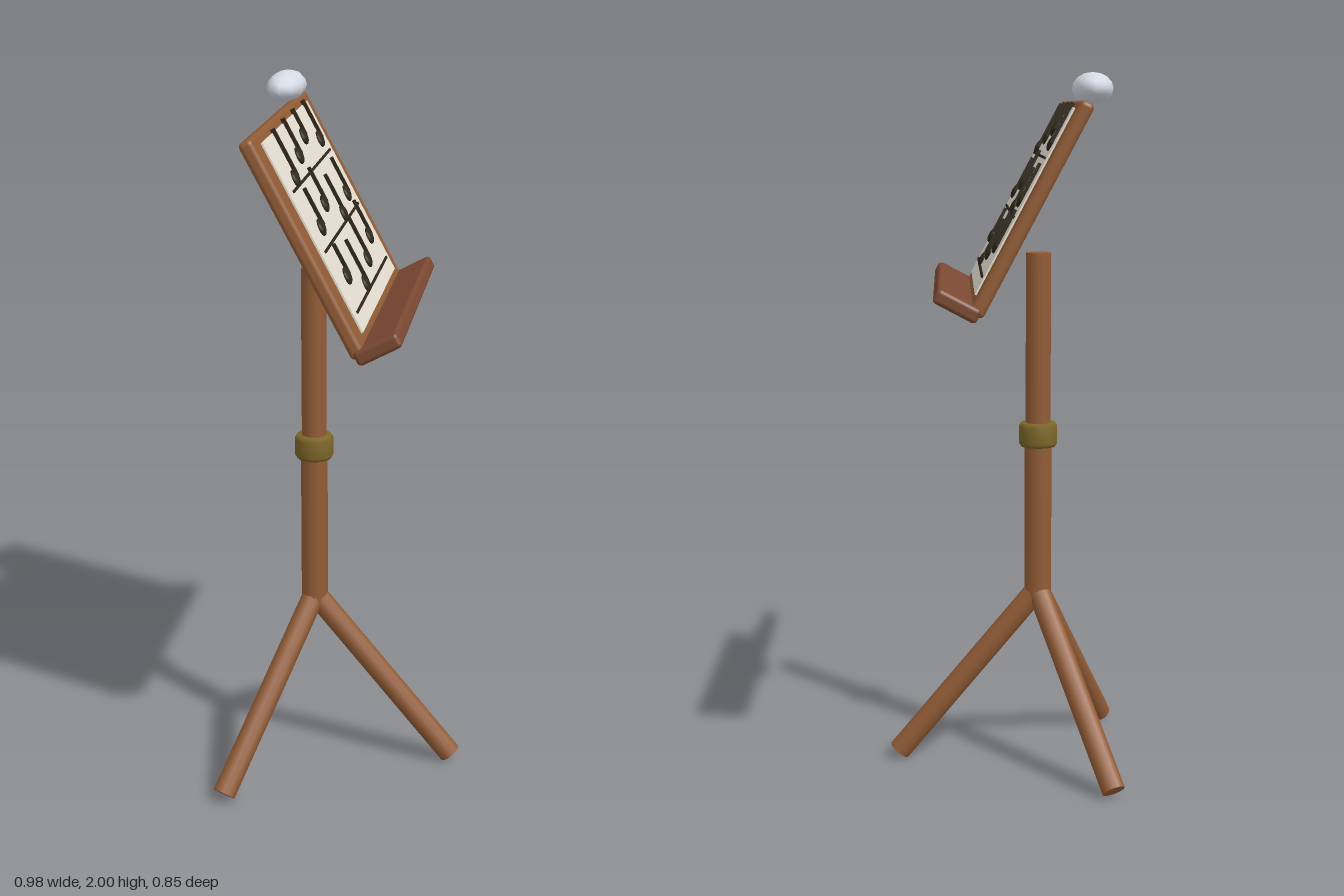
import * as THREE from 'three';
import { RoundedBoxGeometry } from 'three/addons/geometries/RoundedBoxGeometry.js';

const rad = THREE.MathUtils.degToRad;

function makeMaterial(name, color) {
  const m = new THREE.MeshStandardMaterial({ color });
  m.name = name;
  return m;
}

export function createModel() {
  const wood = makeMaterial('wood', 0x925c36);
  const darkWood = makeMaterial('darkWood', 0x7c4932);
  const brass = makeMaterial('brass', 0x7d6628);
  const paper = makeMaterial('paper', 0xeae4d6);
  const ink = makeMaterial('ink', 0x30271b);
  const stone = makeMaterial('paleStone', 0xd6dce6);

  const model = new THREE.Group();
  model.name = 'musicStand';

  function add(parent, name, geometry, material, x = 0, y = 0, z = 0) {
    const mesh = new THREE.Mesh(geometry, material);
    mesh.name = name;
    mesh.position.set(x, y, z);
    parent.add(mesh);
    return mesh;
  }

  // Round bar between two points
  function bar(parent, name, a, b, radius, material) {
    const dir = b.clone().sub(a);
    const geo = new THREE.CylinderGeometry(radius, radius, dir.length(), 12);
    const mid = a.clone().add(b).multiplyScalar(0.5);
    const mesh = add(parent, name, geo, material, mid.x, mid.y, mid.z);
    mesh.quaternion.setFromUnitVectors(new THREE.Vector3(0, 1, 0), dir.normalize());
  }

  // Two-part pole with a collar
  const px = -0.053, pz = -0.053;
  const at = (y, r = 0, angle = 0) =>
    new THREE.Vector3(px + r * Math.cos(angle), y, pz + r * Math.sin(angle));
  bar(model, 'lowerPole', at(0.49), at(0.97), 0.039, wood);
  bar(model, 'upperPole', at(0.97), at(1.5), 0.036, wood);
  const collarProfile = [[0.03, -0.035], [0.049, -0.035], [0.056, -0.024],
    [0.056, 0.024], [0.049, 0.035], [0.03, 0.035]].map(p => new THREE.Vector2(...p));
  add(model, 'collar', new THREE.LatheGeometry(collarProfile, 20), brass, px, 0.975, pz);

  // Tripod legs
  for (let i = 0; i < 3; i++) {
    const angle = rad(61.3 + i * 120);
    bar(model, 'leg', at(0.515), at(0.022, 0.41, angle), 0.033, wood);
  }

  // Tilted desk, turned to one side
  const desk = new THREE.Group();
  desk.name = 'desk';
  desk.position.set(-0.03, 1.643, -0.022);
  desk.rotation.set(rad(-28), rad(30), 0, 'YXZ');
  model.add(desk);
  add(desk, 'board', new RoundedBoxGeometry(0.886, 0.63, 0.04, 3, 0.014), wood);
  add(desk, 'ledge', new RoundedBoxGeometry(0.904, 0.042, 0.13, 3, 0.012), darkWood, 0, -0.313, 0.056);
  add(desk, 'sheet', new THREE.BoxGeometry(0.736, 0.557, 0.008), paper, 0, 0.0085, 0.021);

  // Printed lines
  for (const y of [0.135, -0.042, -0.222]) {
    add(desk, 'staffLine', new THREE.BoxGeometry(0.652, 0.007, 0.005), ink, 0, y, 0.0265);
  }

  // Notes: head x, head y, stem length, stem offset
  const notes = [
    [-0.234, 0.156, 0.14, 0.024], [-0.07, 0.191, 0.108, 0.024], [0.093, 0.22, 0.08, 0.024], [0.269, 0.179, 0.12, 0.024],
    [-0.234, 0.01, 0.11, 0.024], [-0.07, 0.044, 0.105, 0.024], [0.088, -0.021, 0.12, 0.008], [0.251, 0.007, 0.11, 0.024],
    [-0.234, -0.137, 0.09, 0.022], [-0.076, -0.202, 0.13, 0.02], [0.088, -0.168, 0.13, 0.02], [0.251, -0.133, 0.11, 0.024],
  ];
  const headGeo = new THREE.SphereGeometry(1, 14, 8);
  for (const [x, y, length, offset] of notes) {
    const head = add(desk, 'noteHead', headGeo, ink, x, y, 0.027);
    head.scale.set(0.031, 0.023, 0.01);
    head.rotation.z = rad(18);
    add(desk, 'noteStem', new THREE.BoxGeometry(0.011, length, 0.012), ink, x + offset, y + length / 2, 0.028);
  }

  // Smooth lump resting on the top corner
  const lump = add(model, 'restingStone', new THREE.SphereGeometry(1, 10, 8), stone, 0.165, 1.957, -0.325);
  lump.scale.set(0.132, 0.043, 0.055);
  lump.rotation.y = rad(30);

  return model;
}
